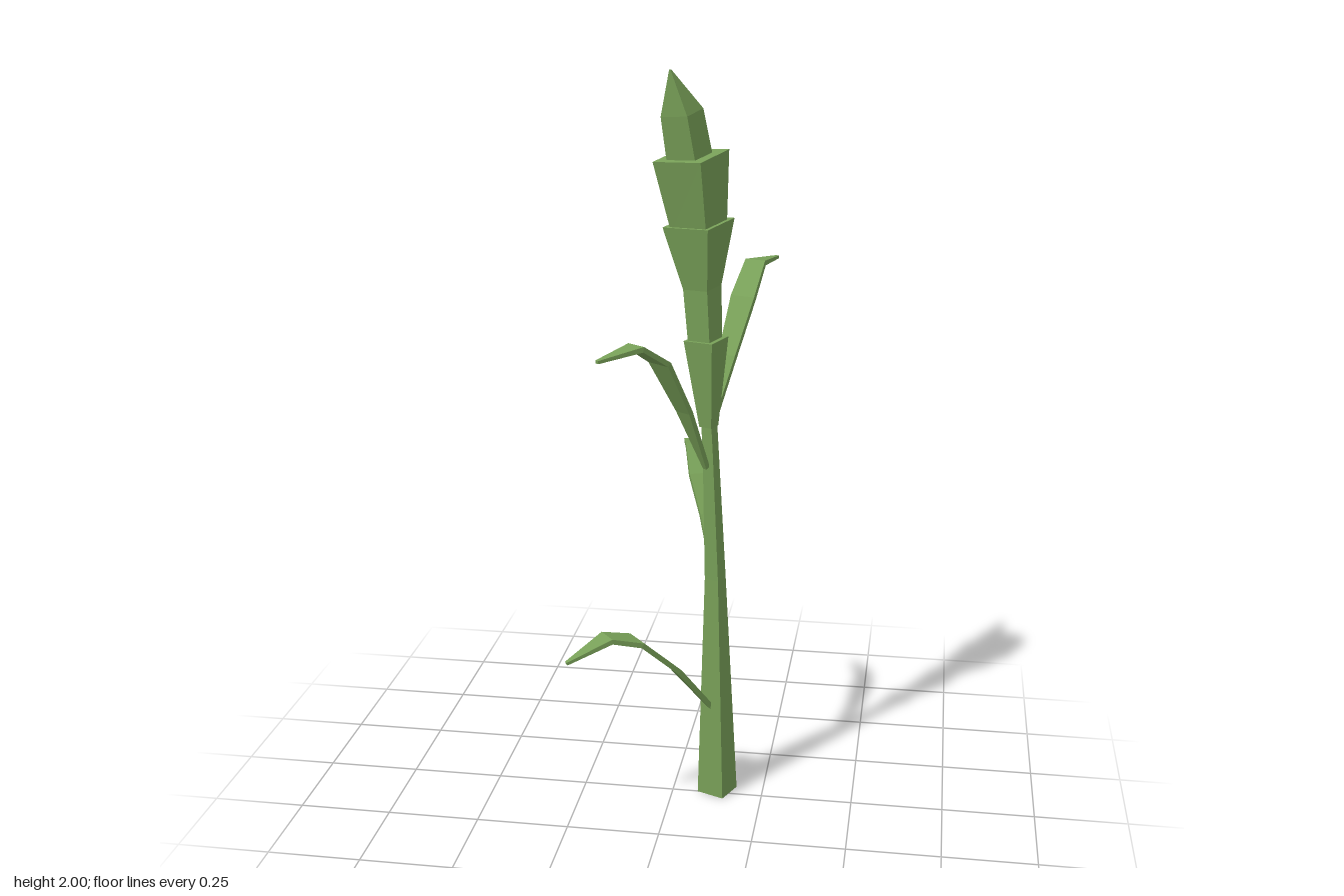
import * as THREE from 'three';

const material = new THREE.MeshStandardMaterial({ color: 0x78a058, flatShading: true });
const V = (x, y, z) => new THREE.Vector3(x, y, z);

// Skin a list of four-cornered rings and cap both ends.
function loft(name, rings) {
  const pos = [];
  const tri = (...pts) => pts.forEach(p => pos.push(p.x, p.y, p.z));
  for (let r = 0; r < rings.length - 1; r++) {
    const a = rings[r], b = rings[r + 1];
    for (let i = 0; i < 4; i++) {
      const j = (i + 1) % 4;
      tri(a[i], a[j], b[j]);
      tri(a[i], b[j], b[i]);
    }
  }
  const s = rings[0], e = rings[rings.length - 1];
  tri(s[0], s[2], s[1]); tri(s[0], s[3], s[2]);
  tri(e[0], e[1], e[2]); tri(e[0], e[2], e[3]);
  const geo = new THREE.BufferGeometry();
  geo.setAttribute('position', new THREE.Float32BufferAttribute(pos, 3));
  geo.computeVertexNormals();
  const mesh = new THREE.Mesh(geo, material);
  mesh.name = name;
  return mesh;
}

// Square ring turned 23 degrees; slope leans it toward the bend of the stalk.
const TURN = THREE.MathUtils.degToRad(23);
function square([x, y, z, side, slope = 0]) {
  const c = Math.cos(TURN) * side / 2, s = Math.sin(TURN) * side / 2;
  return [[-1, -1], [-1, 1], [1, 1], [1, -1]].map(([u, v]) => {
    const dx = u * c - v * s, dz = u * s + v * c;
    return V(x + dx, y + slope * (dx - dz), z + dz);
  });
}

// Thin arching blade along points [x, y, z, width].
function leaf(name, points) {
  const p = points.map(q => V(q[0], q[1], q[2]));
  const last = p.length - 1;
  const along = p[last].clone().sub(p[0]).setY(0).normalize();
  const side = V(0, 1, 0).cross(along);
  return loft(name, p.map((c, i) => {
    const t = p[Math.min(i + 1, last)].clone().sub(p[Math.max(i - 1, 0)]).normalize();
    const up = t.cross(side).normalize();
    const h = i === last ? 0.004 : 0.007, w = points[i][3] / 2;
    return [[-1, -1], [1, -1], [1, 1], [-1, 1]].map(([a, b]) =>
      c.clone().addScaledVector(side, a * w).addScaledVector(up, b * h));
  }));
}

export function createModel() {
  const group = new THREE.Group();
  group.name = 'stalk';

  // Stem and the stacked sheaths: rings of [x, y, z, side, slope]
  const segments = {
    stem: [[0.123, 0, -0.02, 0.08], [0.116, 0.65, 0.006, 0.041], [0.104, 1.0, 0.022, 0.031], [0.096, 1.15, 0.025, 0.03]],
    lowerSheath: [[0.098, 1.08, 0.023, 0.036], [0.09, 1.315, 0.026, 0.084, 0.04]],
    middleSheath: [[0.088, 1.305, 0.027, 0.064, 0.04], [0.08, 1.45, 0.03, 0.071, 0.06], [0.07, 1.615, 0.03, 0.132, 0.07]],
    upperSheath: [[0.072, 1.6, 0.035, 0.102, 0.08], [0.054, 1.786, 0.057, 0.138, 0.1]],
    tip: [[0.053, 1.77, 0.061, 0.083, 0.1], [0.035, 1.893, 0.081, 0.076, 0.13], [0.012, 1.999, 0.12, 0.004]],
  };
  for (const [name, rings] of Object.entries(segments)) group.add(loft(name, rings.map(square)));

  // Leaves, lowest first
  group.add(
    leaf('lowFrontLeaf', [[0.108, 0.27, 0.012, 0.012], [0.02, 0.41, 0.085, 0.05],
      [-0.075, 0.517, 0.155, 0.078], [-0.142, 0.544, 0.21, 0.06], [-0.235, 0.5, 0.288, 0.01]]),
    leaf('lowBackLeaf', [[0.11, 0.66, 0.0, 0.012], [0.083, 0.8, -0.075, 0.042],
      [0.053, 0.892, -0.14, 0.06], [0.028, 0.955, -0.203, 0.048], [-0.01, 0.94, -0.3, 0.01]]),
    leaf('highFrontLeaf', [[0.094, 0.97, 0.035, 0.012], [0.045, 1.14, 0.1, 0.048],
      [-0.007, 1.285, 0.17, 0.07], [-0.055, 1.338, 0.24, 0.056], [-0.132, 1.325, 0.344, 0.01]]),
    leaf('highBackLeaf', [[0.108, 1.09, 0.01, 0.012], [0.135, 1.25, -0.06, 0.05],
      [0.165, 1.388, -0.147, 0.068], [0.188, 1.468, -0.225, 0.058], [0.234, 1.46, -0.348, 0.01]])
  );
  return group;
}
